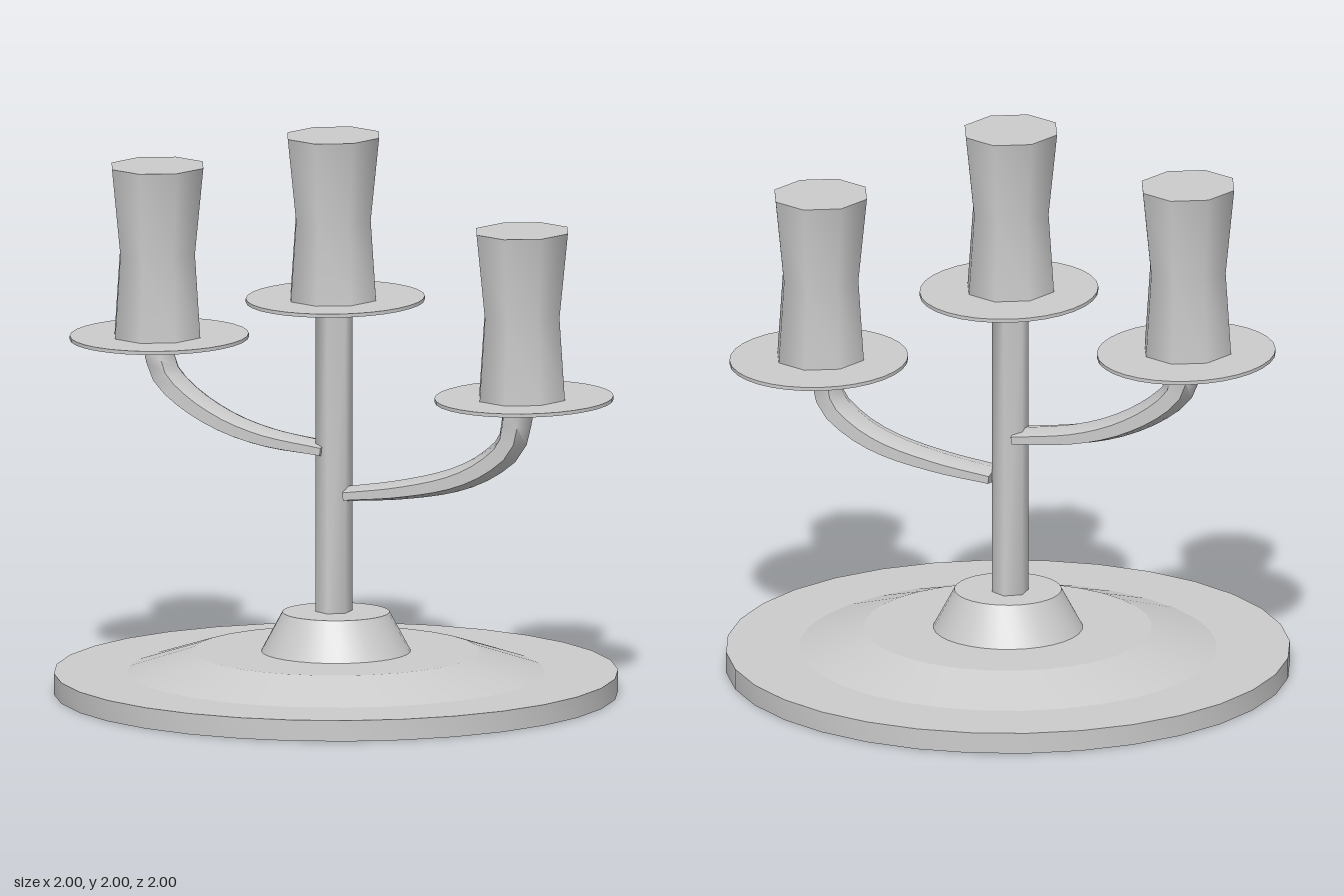
import * as THREE from 'three';
import { toCreasedNormals } from 'three/addons/utils/BufferGeometryUtils.js';

const material = new THREE.MeshStandardMaterial({ color: 0xcccccc });

function addMesh(parent, name, geometry, crease) {
  const mesh = new THREE.Mesh(toCreasedNormals(geometry, crease), material);
  mesh.name = name;
  parent.add(mesh);
  return mesh;
}

function lathe(profile, sides) {
  return new THREE.LatheGeometry(profile.map(([r, y]) => new THREE.Vector2(r, y)), sides);
}

// Hexagonal arm swept along a curve in the x-y plane, growing thicker towards its plate
function armGeometry(path, z) {
  const curve = new THREE.CatmullRomCurve3(path.map(([x, y]) => new THREE.Vector3(x, y, z)));
  const rings = 14, sides = 6;
  const positions = [], index = [];
  for (let i = 0; i <= rings; i++) {
    const u = i / rings;
    const p = curve.getPointAt(u), t = curve.getTangentAt(u);
    const half = THREE.MathUtils.lerp(0.027, 0.058, u);
    for (let j = 0; j < sides; j++) {
      const a = (j / sides) * Math.PI * 2;
      const c = half * Math.cos(a);
      positions.push(p.x - t.y * c, p.y + t.x * c, p.z + 0.081 * Math.sin(a));
      if (i === rings) continue;
      const k = i * sides + j, l = i * sides + (j + 1) % sides;
      index.push(k, l, k + sides, l, l + sides, k + sides);
    }
  }
  // end caps
  const last = rings * sides;
  for (let j = 1; j < sides - 1; j++) {
    index.push(0, j + 1, j, last, last + j, last + j + 1);
  }
  const geometry = new THREE.BufferGeometry();
  geometry.setAttribute('position', new THREE.Float32BufferAttribute(positions, 3));
  geometry.setIndex(index);
  return geometry;
}

// Drip plate with a waisted eight-sided candle; both are slightly narrower in x
function addCandle(parent, side, x, y, plateZ, candleZ, height) {
  const holder = new THREE.Group();
  holder.name = side + 'Holder';
  holder.position.set(x, y, 0);
  parent.add(holder);

  const plate = addMesh(holder, side + 'Plate',
    lathe([[0, -0.058], [0.06, -0.058], [0.352, -0.013], [0.352, 0], [0, 0]], 32), 0.5);
  plate.scale.x = 0.887;
  plate.position.z = plateZ;

  const candle = addMesh(holder, side + 'Candle',
    lathe([[0, -0.01], [0.178, -0.01], [0.155, height * 0.49], [0.19, height], [0, height]], 8), 1);
  candle.scale.x = 0.91;
  candle.position.z = candleZ;
}

export function createModel() {
  const group = new THREE.Group();
  group.name = 'candelabra';

  // stepped foot, hollow underneath
  addMesh(group, 'base', lathe([
    [0, 0.24], [0.19, 0.24], [0.265, 0.075], [0.49, 0.075], [0.72, 0], [1, 0],
    [1, 0.075], [0.74, 0.075], [0.51, 0.15], [0.265, 0.15], [0.19, 0.29], [0, 0.29],
  ], 32), 0.27);

  // hexagonal stem
  const stem = addMesh(group, 'stem', new THREE.CylinderGeometry(0.07, 0.07, 1.12, 6), 1.2);
  stem.scale.x = 0.94;
  stem.position.set(-0.013, 0.82, -0.013);

  // curved arms
  addMesh(group, 'rightArm', armGeometry([
    [-0.04, 0.87], [-0.27, 0.9], [-0.43, 0.95], [-0.57, 1.03], [-0.65, 1.11], [-0.677, 1.21],
  ], -0.014), 1.2);
  addMesh(group, 'leftArm', armGeometry([
    [0.045, 0.715], [0.25, 0.742], [0.45, 0.79], [0.57, 0.85], [0.655, 0.93], [0.683, 1.06],
  ], -0.014), 1.2);

  // plates and candles at three heights
  addCandle(group, 'centre', -0.013, 1.415, -0.028, -0.007, 0.585);
  addCandle(group, 'right', -0.668, 1.245, -0.006, 0.013, 0.61);
  addCandle(group, 'left', 0.69, 1.095, -0.05, -0.03, 0.6);

  return group;
}
